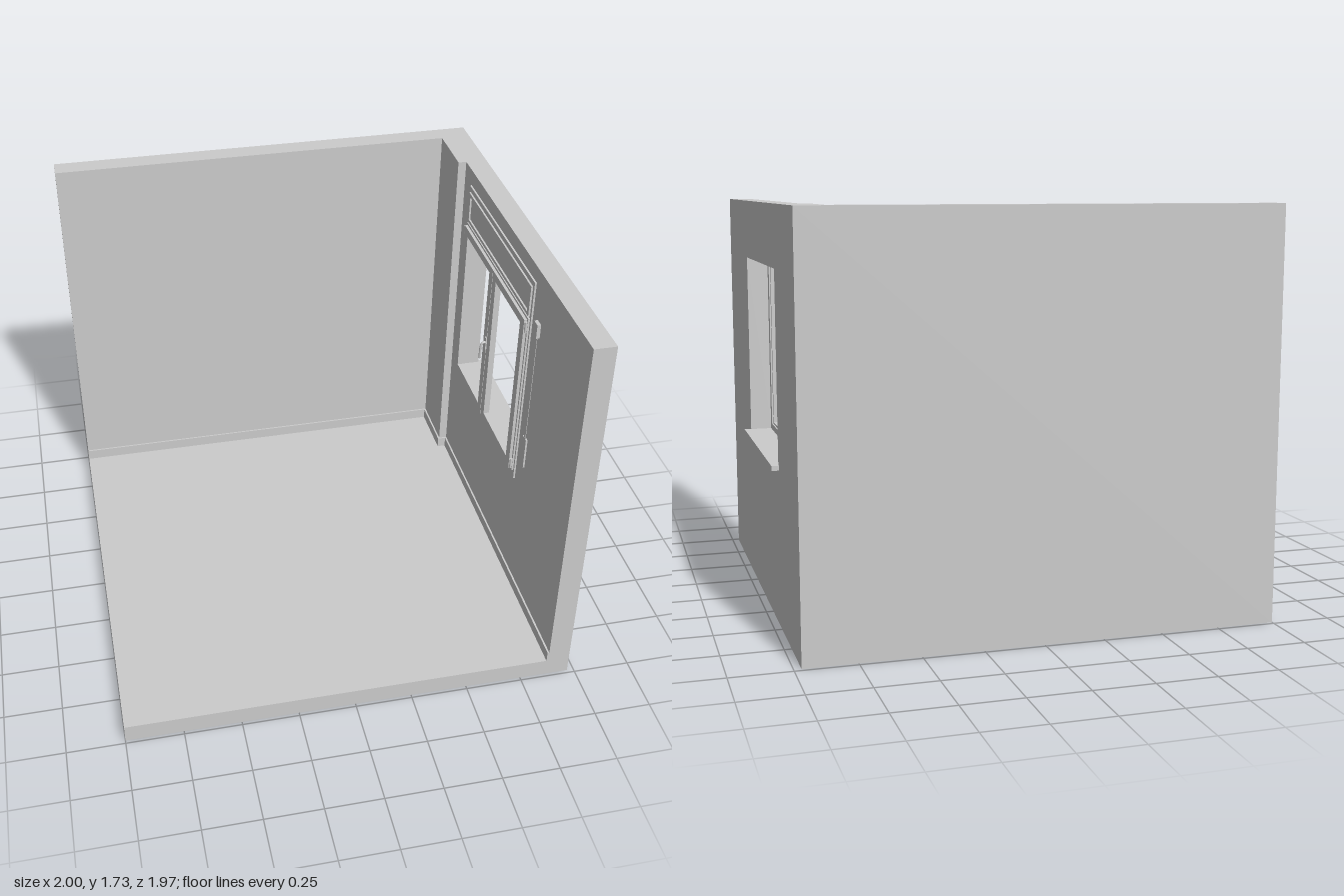
import * as THREE from 'three';

const grey = new THREE.MeshStandardMaterial({ color: 0xcccccc, side: THREE.DoubleSide });

// main dimensions
const H = 1.73, FLOOR = 0.08, OUT = 0.97, IN = 0.874, BACK = -0.985, BACK_IN = -0.89, FRONT = 0.985, LEFT = -1;
const PIER_X = 0.836, PIER_Z = -0.62;
const WIN = { z0: -0.49, z1: 0.36, y0: 0.68, y1: 1.475 };

function rect(path, a0, b0, a1, b1) {
  path.moveTo(a0, b0);
  path.lineTo(a1, b0);
  path.lineTo(a1, b1);
  path.lineTo(a0, b1);
  path.closePath();
  return path;
}

export function createModel() {
  const model = new THREE.Group();

  const add = (name, geometry, parent = model) => {
    const mesh = new THREE.Mesh(geometry, grey);
    mesh.name = name;
    parent.add(mesh);
    return mesh;
  };

  // box from its limits
  const box = (name, x0, x1, y0, y1, z0, z1, parent) =>
    add(name, new THREE.BoxGeometry(x1 - x0, y1 - y0, z1 - z0)
      .translate((x0 + x1) / 2, (y0 + y1) / 2, (z0 + z1) / 2), parent);

  // upright sheet from plan point a to b; it faces left of its direction seen from above
  const sheet = (name, [ax, az], [bx, bz], y0, y1, hole) => {
    const dx = bx - ax, dz = bz - az;
    const shape = rect(new THREE.Shape(), 0, y0, Math.hypot(dx, dz), y1);
    if (hole) shape.holes.push(rect(new THREE.Path(), ...hole));
    return add(name, new THREE.ShapeGeometry(shape).rotateY(Math.atan2(-dz, dx)).translate(ax, 0, az));
  };

  // level sheet from plan points
  const level = (name, points, y) => {
    const shape = new THREE.Shape(points.map(([x, z]) => new THREE.Vector2(x, -z)));
    return add(name, new THREE.ShapeGeometry(shape).rotateX(-Math.PI / 2).translate(0, y, 0));
  };

  // flat plate in the window wall, with rectangular openings [z0, y0, z1, y1]
  const plate = (name, x0, x1, outer, holes, parent) => {
    const shape = rect(new THREE.Shape(), ...outer);
    holes.forEach(h => shape.holes.push(rect(new THREE.Path(), ...h)));
    const geometry = new THREE.ExtrudeGeometry(shape, { depth: x1 - x0, bevelEnabled: false });
    return add(name, geometry.rotateY(-Math.PI / 2).translate(x1, 0, 0), parent);
  };

  // room shell, open underneath
  const inner = [[LEFT, BACK_IN], [PIER_X, BACK_IN], [PIER_X, PIER_Z], [IN, PIER_Z], [IN, FRONT]];
  const outer = [[OUT, FRONT], [OUT, BACK], [LEFT, BACK]];
  sheet('backWallInside', inner[0], inner[1], FLOOR, H);
  sheet('pierSide', inner[1], inner[2], FLOOR, H);
  sheet('pierFront', inner[2], inner[3], FLOOR, H);
  sheet('windowWallInside', inner[3], inner[4], FLOOR, H,
    [WIN.z0 - PIER_Z, WIN.y0, WIN.z1 - PIER_Z, WIN.y1]);
  sheet('windowWallEnd', inner[4], outer[0], 0, H);
  sheet('windowWallOutside', outer[0], outer[1], 0, H,
    [FRONT - WIN.z1, WIN.y0, FRONT - WIN.z0, WIN.y1]);
  sheet('backWallOutside', outer[1], outer[2], 0, H);
  sheet('backWallEnd', outer[2], inner[0], 0, H);
  level('wallTop', [...inner, ...outer], H);
  level('floor', [...inner, [LEFT, FRONT]], FLOOR);
  sheet('floorEdgeLeft', inner[0], [LEFT, FRONT], 0, FLOOR);
  sheet('floorEdgeFront', [LEFT, FRONT], inner[4], 0, FLOOR);

  // lining of the window opening
  sheet('revealFront', [OUT, WIN.z1], [IN, WIN.z1], WIN.y0, WIN.y1);
  sheet('revealBack', [IN, WIN.z0], [OUT, WIN.z0], WIN.y0, WIN.y1);
  level('revealTop', [[IN, WIN.z0], [OUT, WIN.z0], [OUT, WIN.z1], [IN, WIN.z1]], WIN.y1);

  // outside sill, running through the opening
  box('sillBoard', IN, OUT, 0.665, 0.685, WIN.z0, WIN.z1);
  box('sillNose', OUT, 1, 0.665, 0.685, -0.505, 0.368);

  // skirting boards
  const skirting = new THREE.Group();
  skirting.name = 'skirting';
  model.add(skirting);
  const T = 0.008, TOP = 0.13;
  box('skirtingBack', LEFT, PIER_X, FLOOR, TOP, BACK_IN, BACK_IN + T, skirting);
  box('skirtingPierSide', PIER_X - T, PIER_X, FLOOR, TOP, BACK_IN, PIER_Z + T, skirting);
  box('skirtingPierFront', PIER_X, IN, FLOOR, TOP, PIER_Z, PIER_Z + T, skirting);
  box('skirtingWindowWall', IN - T, IN, FLOOR, TOP, PIER_Z, FRONT, skirting);

  // window: trim on the wall, fixed frame and two sashes
  const win = new THREE.Group();
  win.name = 'window';
  model.add(win);
  plate('trim', 0.866, IN, [-0.52, 0.635, 0.375, 1.66], [[WIN.z0, WIN.y0, WIN.z1, WIN.y1]], win);
  plate('frame', 0.858, 0.878, [-0.5, 0.675, 0.365, 1.482],
    [[-0.455, 0.712, -0.095, 1.442], [-0.035, 0.712, 0.325, 1.442]], win);
  for (const [z0, z1, o0, o1] of [[-0.49, -0.067, -0.44, -0.11], [-0.063, 0.355, -0.02, 0.31]]) {
    plate('sash', 0.845, 0.872, [z0, 0.685, z1, 1.472], [[o0, 0.72, o1, 1.435]], win);
  }

  // shutter box cover above the window
  plate('shutterCover', 0.858, 0.868, [-0.5, 1.49, 0.36, 1.635], [[-0.48, 1.505, 0.34, 1.62]], win);

  // hinges at both outer edges
  for (const z of [-0.497, 0.362]) {
    for (const y of [0.715, 1.44]) {
      add('hinge', new THREE.CylinderGeometry(0.006, 0.006, 0.05, 12).translate(0.852, y, z), win);
    }
  }

  // handle: base plate, neck and hanging lever
  const handle = new THREE.Group();
  handle.name = 'handle';
  win.add(handle);
  box('handleBase', 0.839, 0.846, 1.055, 1.115, -0.079, -0.061, handle);
  const grip = new THREE.CatmullRomCurve3([
    [0.845, 1.09], [0.829, 1.088], [0.822, 1.075], [0.82, 1.04], [0.82, 1.01],
  ].map(([x, y]) => new THREE.Vector3(x, y, -0.07)));
  add('handleLever', new THREE.TubeGeometry(grip, 20, 0.006, 10), handle);
  add('handleTip', new THREE.SphereGeometry(0.006, 10, 8).translate(0.82, 1.01, -0.07), handle);

  // shutter strap with its guide and winder
  const strap = new THREE.Group();
  strap.name = 'shutterStrap';
  model.add(strap);
  box('strapGuide', 0.858, IN, 1.45, 1.515, 0.43, 0.47, strap);
  box('strapBand', 0.867, 0.869, 0.9, 1.45, 0.441, 0.459, strap);
  box('strapWinder', 0.866, IN, 0.77, 0.92, 0.43, 0.47, strap);

  return model;
}
